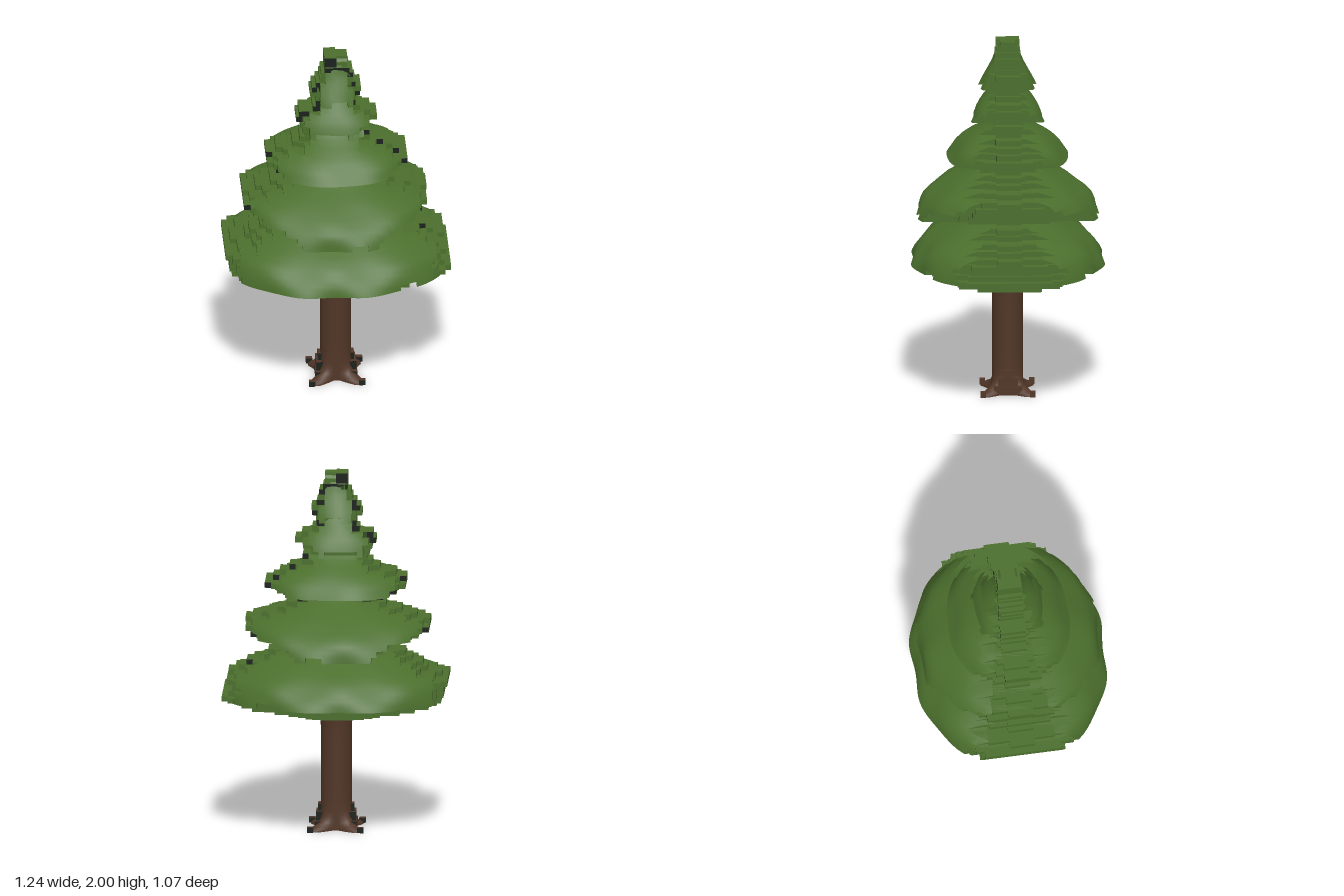
import * as THREE from 'three';
import { toCreasedNormals } from 'three/addons/utils/BufferGeometryUtils.js';

// Tier outlines, top to bottom: [height, half width, half depth]
const TIERS = [
  [[1.10, .17, .11], [1.05, .22, .18], [1.0, .35, .25], [.95, .45, .34], [.9, .55, .42], [.86, .62, .46], [.82, .57, .495], [.78, .61, .52], [.75, .59, .53]],
  [[1.34, .1, .1], [1.30, .2, .16], [1.26, .28, .23], [1.22, .4, .31], [1.18, .51, .37], [1.14, .48, .43], [1.10, .38, .47], [1.06, .3, .49], [1.02, .2, .5]],
  [[1.58, .09, .07], [1.53, .16, .12], [1.49, .21, .18], [1.45, .3, .24], [1.41, .38, .28], [1.37, .35, .31], [1.34, .27, .335], [1.31, .2, .35]],
  [[1.77, .08, .07], [1.7, .12, .12], [1.66, .19, .15], [1.62, .22, .175], [1.58, .18, .19], [1.55, .14, .205]],
  [[2, .05, .03], [1.96, .06, .06], [1.9, .08, .08], [1.84, .11, .11], [1.78, .14, .14], [1.735, .09, .16]],
];
// Stepped underside of the lowest tier: [low, high, half width, half depth]
const UNDERSIDE = [[.725, .77, .55, .45], [.7, .73, .5, .42], [.668, .702, .39, .3], [.638, .67, .24, .2]];
const CELL = 0.03;

function seeded(seed) {
  return () => (seed = (seed * 16807) % 2147483647) / 2147483647;
}

// Interpolates one column of a tier outline at height y
function sample(profile, y, k) {
  for (let i = 1; i < profile.length; i++) {
    const a = profile[i - 1], b = profile[i];
    if (y >= b[0]) return THREE.MathUtils.lerp(a[k], b[k], Math.max(0, (a[0] - y) / (a[0] - b[0])));
  }
  return profile[profile.length - 1][k];
}

// Flared bough: smooth front and back over a stepped outline, rows given as [left, right]
function boughGeometry(profile, rows, rand) {
  const top = profile[0][0], step = (top - profile[profile.length - 1][0]) / rows.length;
  const cols = 22, phase = rand() * 6;
  const widest = Math.max(...profile.map((p) => p[1])) + 0.02;
  const widestY = profile.find((p) => p[1] > widest - 0.03)[0];

  // Stepped silhouette with notches along the hem
  const filled = rows.map(([left, right], j) => {
    const row = [];
    let notch = false;
    for (let i = 0; i < cols * 2; i++) {
      const x = (i - cols + 0.5) * CELL;
      if (i % 3 === 0) notch = j === rows.length - 1 && rand() < 0.3;
      row.push(x > -left && x < right && !notch);
    }
    return row;
  });
  const has = (i, j) => Boolean(filled[j] && filled[j][i]);

  const depth = (x, y) => {
    const span = y < widestY ? widest : sample(profile, y, 1) + 0.02;
    const r = sample(profile, y, 2);
    const round = Math.pow(Math.max(0, 1 - Math.pow(Math.abs(x) / span, 2.2)), 0.45);
    const ripple = 1 + 0.025 * Math.sin(x * 17 + phase) * Math.sin(y * 21 + phase);
    return Math.max(r * round * ripple, Math.min(0.07, r));
  };

  const pos = [];
  const quad = (a, b, c, d) => pos.push(...a, ...b, ...c, ...a, ...c, ...d);
  for (let j = 0; j < rows.length; j++) {
    for (let i = 0; i < cols * 2; i++) {
      if (!has(i, j)) continue;
      const x0 = (i - cols) * CELL, x1 = x0 + CELL;
      const y1 = top - j * step, y0 = y1 - step;
      const p = (x, y, side) => [x, y, side * depth(x, y)];
      quad(p(x0, y1, 1), p(x0, y0, 1), p(x1, y0, 1), p(x1, y1, 1));
      quad(p(x1, y1, -1), p(x1, y0, -1), p(x0, y0, -1), p(x0, y1, -1));
      if (!has(i, j + 1)) quad(p(x0, y0, -1), p(x1, y0, -1), p(x1, y0, 1), p(x0, y0, 1));
      if (!has(i, j - 1)) quad(p(x0, y1, 1), p(x1, y1, 1), p(x1, y1, -1), p(x0, y1, -1));
      if (!has(i + 1, j)) quad(p(x1, y0, 1), p(x1, y0, -1), p(x1, y1, -1), p(x1, y1, 1));
      if (!has(i - 1, j)) quad(p(x0, y0, -1), p(x0, y0, 1), p(x0, y1, 1), p(x0, y1, -1));
    }
  }
  const geo = new THREE.BufferGeometry();
  geo.setAttribute('position', new THREE.Float32BufferAttribute(pos, 3));
  return toCreasedNormals(geo, 0.6);
}

// Round trunk whose foot spreads into four low diagonal roots
function trunkGeometry() {
  const geo = new THREE.CylinderGeometry(0.085, 0.085, 1, 32, 16);
  const pos = geo.attributes.position;
  for (let i = 0; i < pos.count; i++) {
    const x = pos.getX(i), z = pos.getZ(i), y = 0.74 * Math.pow(pos.getY(i) + 0.5, 2);
    const lobe = Math.pow(Math.sin(2 * Math.atan2(z, x)), 2);
    const root = 1.15 * Math.exp(-Math.pow(y / 0.035, 2)) * lobe * lobe;
    const ridge = 0.25 * Math.exp(-Math.pow(y / 0.09, 2)) * lobe;
    const collar = 0.25 * THREE.MathUtils.smoothstep(y, 0.62, 0.72);
    const s = 1 + root + ridge + collar;
    pos.setXYZ(i, x * s, y, z * s);
  }
  return toCreasedNormals(geo, 0.8);
}

export function createModel() {
  const tree = new THREE.Group();
  tree.name = 'pineTree';
  const material = (name, color) => {
    const mat = new THREE.MeshStandardMaterial({ color });
    mat.name = name;
    return mat;
  };
  const needles = material('needleGreen', 0x4b6f2d);
  const bark = material('barkBrown', 0x513627);
  const shade = material('edgeDark', 0x1b211d);
  const add = (name, geo, mat) => {
    const mesh = new THREE.Mesh(geo, mat);
    mesh.name = name;
    tree.add(mesh);
    return mesh;
  };
  // Box between two corners in x and y, centred in z, with its own front and back colour
  const brick = (name, x0, x1, y0, y1, deep, mat, ends) => {
    const geo = new THREE.BoxGeometry(x1 - x0, y1 - y0, deep * 2);
    const mesh = add(name, geo, [mat, mat, mat, mat, ends, ends]);
    mesh.position.set((x0 + x1) / 2, (y0 + y1) / 2, 0);
    return mesh;
  };
  const rand = seeded(71);

  add('trunk', trunkGeometry(), bark);

  // Each tier: a smooth bough with stacked twig blocks stepping out at both sides
  TIERS.forEach((profile, t) => {
    const top = profile[0][0], height = top - profile[profile.length - 1][0];
    const count = Math.round(height / CELL), step = height / count;
    const widestRow = profile.reduce((a, b) => (b[1] > a[1] ? b : a));
    const rows = [];
    for (let j = 0; j < count; j++) {
      const y1 = top - j * step, y0 = y1 - step, mid = (y0 + y1) / 2;
      const half = sample(profile, mid, 1), r = sample(profile, mid, 2);
      const trim = Math.min(0.05, half * 0.3);
      const upper = mid > widestRow[0];
      const inner = [];
      for (const side of [-1, 1]) {
        const end = half + (rand() - 0.5) * (half > 0.15 ? 0.06 : 0.02);
        inner.push(end - trim);
        const ends = rand() < (t ? 0.3 : 0.1) ? shade : needles;
        const outerDeep = upper ? Math.min(0.07, r) : 0.45 * r;
        const innerDeep = Math.max(outerDeep, (upper ? 0.42 : 0.55) * r);
        for (const [reach, deep, face] of [[end, outerDeep, ends], [end - trim * 0.7, innerDeep, needles]]) {
          brick('twigBlock', side < 0 ? -reach : 0, side < 0 ? 0 : reach, y0, y1, deep, needles, face);
        }
      }
      rows.push(inner);
    }
    add(`boughTier${t + 1}`, boughGeometry(profile, rows, rand), needles);
  });

  // Dark chip on the tip
  brick('tipChip', -0.065, 0, 1.94, 2, 0.065, needles, shade);

  // Underside blocks, nested to follow a rounded plan
  for (const [low, high, half, deep] of UNDERSIDE) {
    for (const [w, d] of [[1, 0.42], [0.87, 0.66], [0.68, 0.85], [0.42, 1]]) {
      const left = half * w + (rand() - 0.5) * 0.05, right = half * w + (rand() - 0.5) * 0.05;
      brick('underBlock', -left, right, low + (1 - w) * 0.008, high, deep * d, needles, needles);
    }
  }

  // Blunt root ends and stepped side roots, dark in front and back
  for (const side of [-1, 1]) {
    for (const [reach, y0, y1, deep] of [[0.1, 0.09, 0.14, 0.03], [0.11, 0.045, 0.1, 0.055], [0.115, 0, 0.05, 0.08]]) {
      const x = side * reach;
      brick('sideRoot', Math.min(0, x), Math.max(0, x), y0, y1, deep, bark, shade);
    }
    for (const front of [-1, 1]) {
      brick('rootEnd', side * 0.138 - 0.0175, side * 0.138 + 0.0175, 0, 0.03, 0.015, bark, shade).position.z = front * 0.136;
    }
  }
  return tree;
}
